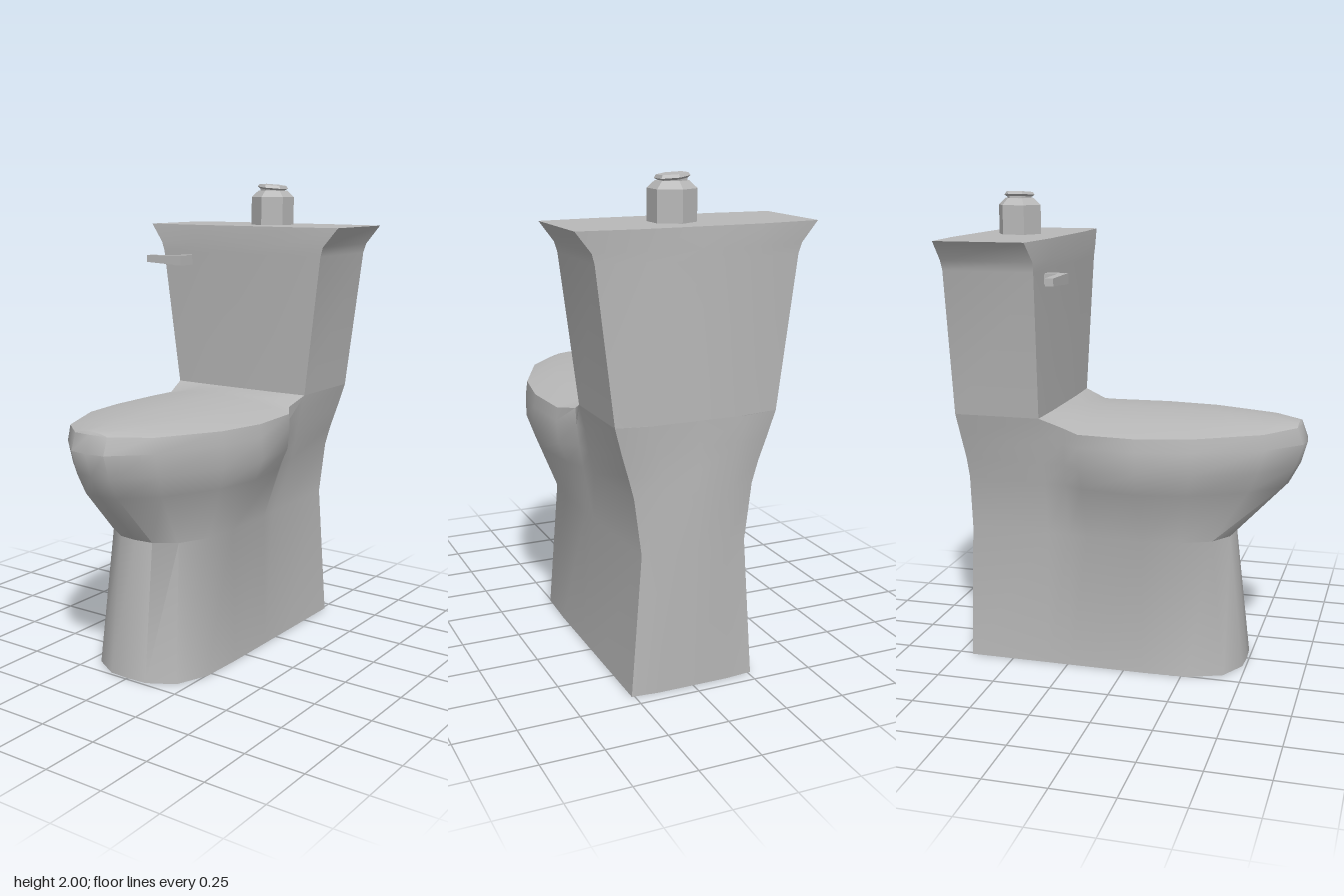
import * as THREE from 'three';
import { toCreasedNormals } from 'three/addons/utils/BufferGeometryUtils.js';

const ceramic = new THREE.MeshStandardMaterial({ color: 0xb8b8b8, side: THREE.DoubleSide });
ceramic.name = 'grey ceramic';

// Skin a grid of points (rows of equal length) with smooth normals and sharp creases.
function skin(name, rows, crease = 0.6) {
  const n = rows[0].length;
  const index = [];
  for (let i = 0; i < rows.length - 1; i++) {
    for (let j = 0; j < n - 1; j++) {
      const a = i * n + j, b = a + 1, c = a + n, d = c + 1;
      index.push(a, c, b, b, c, d);
    }
  }
  const g = new THREE.BufferGeometry();
  g.setAttribute('position', new THREE.Float32BufferAttribute(rows.flat(2), 3));
  g.setIndex(index);
  return part(name, toCreasedNormals(g, crease));
}

function part(name, geometry) {
  const mesh = new THREE.Mesh(geometry, ceramic);
  mesh.name = name;
  return mesh;
}

// Mirror a half outline (back centre, round +x, front centre) into a closed ring.
function ring(half, heightAt) {
  const right = half.map(([x, z], i) => [x, heightAt(i), z]);
  const left = right.slice(0, -1).reverse().map(([x, y, z]) => [-x, y, z]);
  return [...right, ...left];
}

// Half outlines of pedestal and bowl, from the floor up.
const floor = [[0, -.70], [.15, -.70], [.262, -.69], [.262, -.335], [.262, -.24], [.262, -.16],
  [.262, .08], [.255, .28], [.2, .42], [.09, .485], [0, .49]];
const waist = [[0, -.715], [.13, -.712], [.22, -.685], [.235, -.335], [.24, -.24], [.245, -.16],
  [.245, .08], [.23, .23], [.17, .36], [.08, .42], [0, .43]];
const lower = [[0, -.72], [.14, -.72], [.25, -.68], [.275, -.335], [.285, -.24], [.32, -.16],
  [.352, .08], [.315, .28], [.2, .51], [.08, .635], [0, .65]];
const belly = [[0, -.72], [.15, -.72], [.275, -.682], [.295, -.335], [.3, -.24], [.36, -.16],
  [.388, .08], [.345, .3], [.22, .55], [.08, .685], [0, .698]];
const lip = [[0, -.72], [.17, -.722], [.305, -.69], [.31, -.335], [.31, -.24], [.368, -.16],
  [.382, .08], [.345, .3], [.218, .58], [.08, .715], [0, .725]];
const rim = [[0, -.725], [.2, -.725], [.335, -.70], [.335, -.335], [.316, -.24], [.365, -.16],
  [.375, .08], [.338, .3], [.212, .57], [.08, .69], [0, .70]];
const rimY = [1.1, 1.1, 1.1, 1.1, 1.062, 1.05, 1.048, 1.052, 1.058, 1.064, 1.066];

function makeBody() {
  const levels = [[0, floor], [.58, waist], [.81, lower], [.9, belly], [.995, lip]];
  const rows = levels.map(([y, half]) => ring(half, () => y));
  rows.push(ring(rim, i => rimY[i]));
  return skin('pedestalAndBowl', rows, 0.75);
}

// Gently domed lid following the bowl rim.
function makeLid() {
  const ridgeY = [1.1, 1.1, 1.1, 1.103, 1.1, 1.09, 1.078, 1.066];
  const rows = ridgeY.map((top, k) => {
    const [e, z] = rim[k + 3], low = rimY[k + 3];
    return [-1, -.6, 0, .6, 1].map(t => [t * e, low + (top - low) * (1 - t * t), z]);
  });
  return skin('lid', rows);
}

// Tank with slightly bowed front and back, flaring sideways at the top.
function makeTank() {
  const sections = [ // y, half width, front corner z, front centre z, back corner z, back centre z
    [1.1, .335, -.335, -.33, -.70, -.725],
    [1.7, .41, -.318, -.31, -.70, -.727],
    [1.74, .422, -.316, -.307, -.703, -.728],
    [1.82, .486, -.327, -.31, -.705, -.728],
  ];
  const rows = sections.map(([y, w, fc, f, bc, b]) =>
    ring([[0, b], [w * .5, b], [w, bc], [w, fc], [w * .5, f], [0, f]], () => y));
  rows.push(rows[3].map(() => [0, 1.82, -.52]));
  return skin('tank', rows);
}

// Six-sided knob with a small tilted cap.
function makeKnob() {
  const turned = (name, points) => part(name, toCreasedNormals(
    new THREE.LatheGeometry(points.map(([r, y]) => new THREE.Vector2(r, y)), 6), 0.3));
  const knob = new THREE.Group();
  knob.name = 'knob';
  const cap = turned('knobCap', [[.055, -.03], [.055, -.012], [.068, -.004], [.06, .008], [0, .008]]);
  cap.position.y = .167;
  cap.rotation.z = -.09;
  knob.add(turned('knobBase', [[.094, -.005], [.094, .122], [.064, .15], [0, .15]]), cap);
  knob.position.set(.037, 1.82, -.533);
  return knob;
}

// Flush lever: a stem out of the tank and a tapered arm.
function makeLever() {
  const lever = new THREE.Group();
  lever.name = 'flushLever';
  const stem = part('leverStem', new THREE.BoxGeometry(.042, .044, .09));
  stem.position.set(-.27, 1.664, -.277);
  const armGeometry = new THREE.BoxGeometry(.19, .044, .034);
  const p = armGeometry.attributes.position;
  for (let i = 0; i < p.count; i++) {
    if (p.getX(i) < 0) p.setY(i, p.getY(i) * .7 + .003);
  }
  armGeometry.computeVertexNormals();
  const arm = part('leverArm', armGeometry);
  arm.position.set(-.345, 1.664, -.243);
  lever.add(stem, arm);
  return lever;
}

export function createModel() {
  const model = new THREE.Group();
  model.name = 'toilet';
  model.add(makeBody(), makeLid(), makeTank(), makeKnob(), makeLever());
  return model;
}
